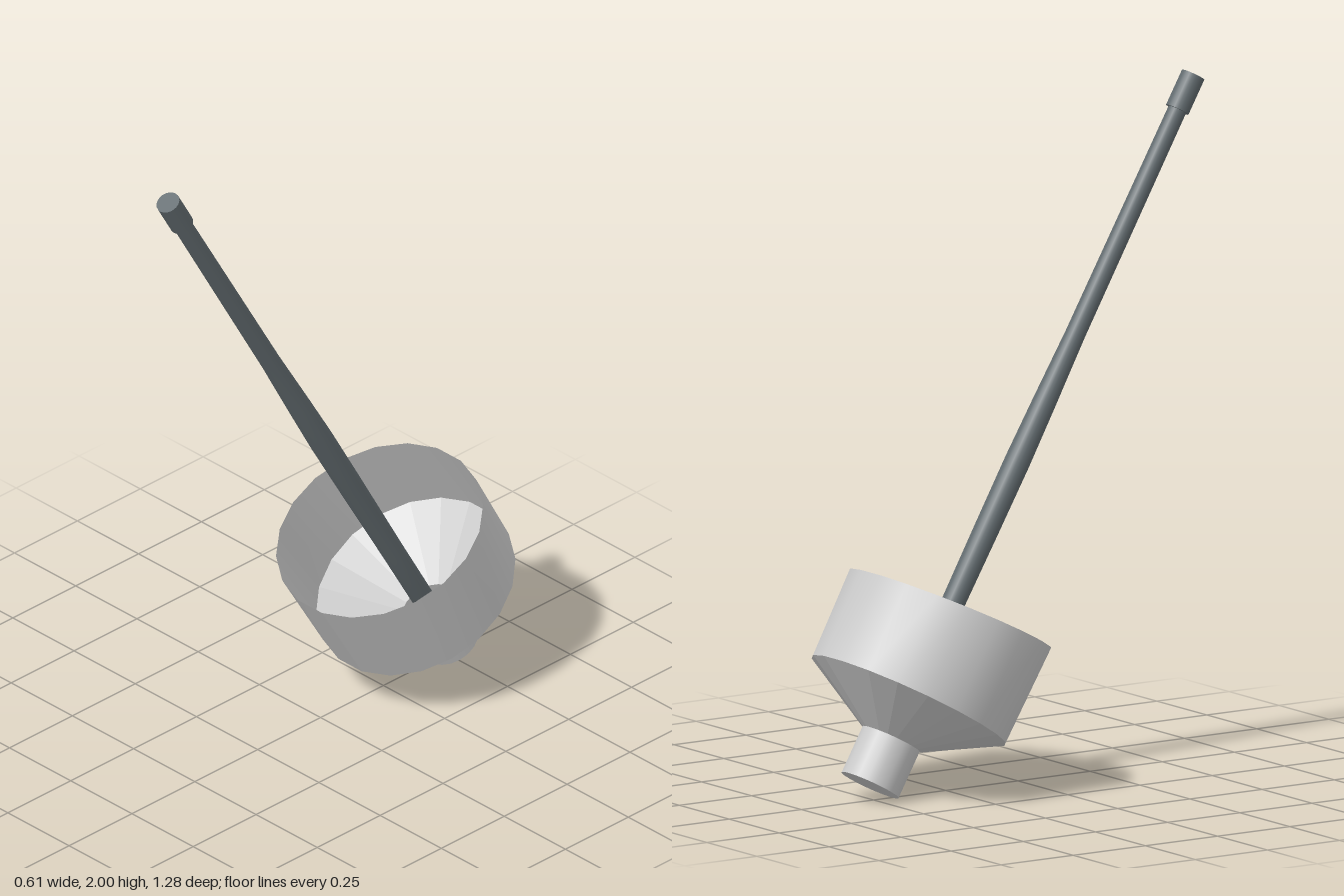
import * as THREE from 'three';

const SIDES = 20;
const HALF_STEP = Math.PI / SIDES;

export function createModel() {
  const shell = new THREE.MeshStandardMaterial({ color: 0xcccccc, side: THREE.DoubleSide });
  const facetedShell = new THREE.MeshStandardMaterial({ color: 0xcccccc, side: THREE.DoubleSide, flatShading: true });
  const dark = new THREE.MeshStandardMaterial({ color: 0x636c70 });

  // Everything shares one axis, leaning 30 degrees towards the front
  const model = new THREE.Group();
  const axis = new THREE.Group();
  axis.name = 'leaningAssembly';
  axis.position.set(0, 0.045, -0.512);
  axis.rotation.x = Math.PI / 6;
  model.add(axis);

  const add = (name, geometry, material) => {
    const mesh = new THREE.Mesh(geometry, material);
    mesh.name = name;
    axis.add(mesh);
    return mesh;
  };
  // Open ring between two heights, with a radius at each end
  const ring = (r0, y0, r1, y1) =>
    new THREE.CylinderGeometry(r1, r0, y1 - y0, SIDES, 1, true, HALF_STEP).translate(0, (y0 + y1) / 2, 0);

  // Spout: open at the top, closed at the bottom
  add('spoutWall', ring(0.09, 0, 0.09, 0.145), shell);
  add('spoutBottom', new THREE.CircleGeometry(0.09, SIDES, HALF_STEP).rotateX(Math.PI / 2), shell);

  // Funnel cone
  add('funnelCone', ring(0.09, 0.145, 0.305, 0.267), facetedShell);

  // Cup wall, its rim a little higher at the front than at the back
  const wall = ring(0.305, 0.267, 0.311, 0.555);
  const pos = wall.attributes.position;
  for (let i = 0; i < pos.count; i++) {
    if (pos.getY(i) > 0.4) pos.setY(i, pos.getY(i) + 0.065 * pos.getZ(i));
  }
  wall.computeVertexNormals();
  add('cupWall', wall, shell);

  // Rod: thickest around its middle
  const rod = [[0, 0.01], [0.032, 0.01], [0.033, 0.45], [0.036, 0.8], [0.037, 1.02],
    [0.034, 1.2], [0.029, 1.42], [0.027, 2.14]].map(([r, y]) => new THREE.Vector2(r, y));
  add('rod', new THREE.LatheGeometry(rod, SIDES), dark);

  // Cap on the end of the rod
  add('rodCap', new THREE.CylinderGeometry(0.035, 0.035, 0.11, SIDES).translate(0, 2.183, 0), dark);

  return model;
}
